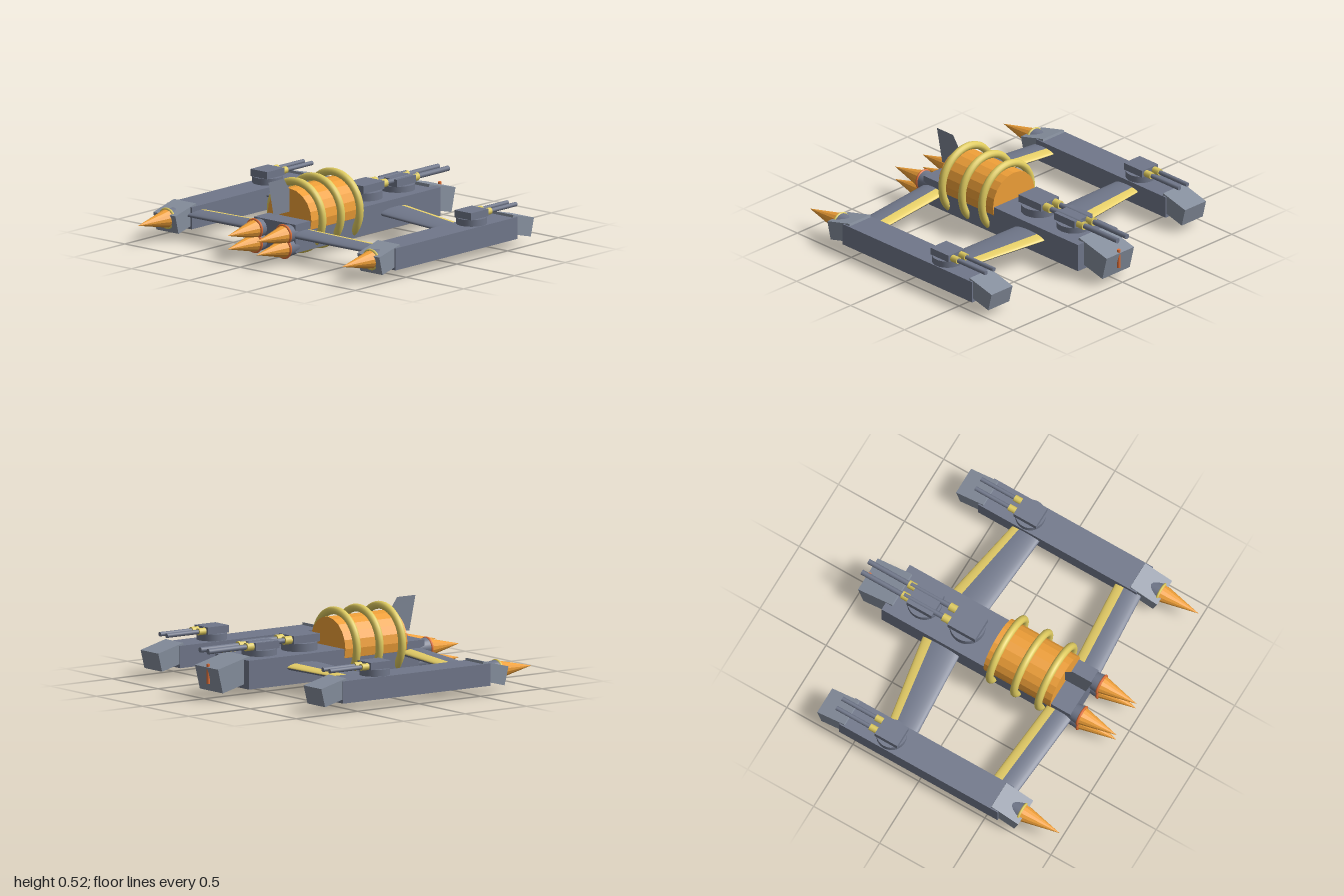
import * as THREE from 'three';

const mat = (color, extra = {}) => new THREE.MeshStandardMaterial({ color, ...extra });

export function createModel() {
  const model = new THREE.Group();
  const slate = mat(0x70778a);
  const paleSlate = mat(0x87909f);
  const strutGrey = mat(0x70778a, { side: THREE.DoubleSide });
  const strutYellow = mat(0xe8d068, { side: THREE.DoubleSide });
  const orange = mat(0xf0a038, { flatShading: true });
  const yellow = mat(0xe0cc60);
  const red = mat(0xe07038);

  const add = (parent, name, geometry, material, x, y, z, rx = 0) => {
    const mesh = new THREE.Mesh(geometry, material);
    mesh.name = name;
    mesh.position.set(x, y, z);
    mesh.rotation.x = rx;
    parent.add(mesh);
    return mesh;
  };
  const box = (w, h, d) => new THREE.BoxGeometry(w, h, d);
  // Cylinder along z; rFront is the +z end
  const rod = (rFront, rBack, length, sides = 16) =>
    new THREE.CylinderGeometry(rFront, rBack, length, sides).rotateX(Math.PI / 2);

  // Nozzle, glowing ring and exhaust flame
  const engine = (name, x, y, tip, ringMaterial) => {
    const g = new THREE.Group();
    g.name = name;
    add(g, 'nozzle', rod(0.066, 0.052, 0.13, 24), slate, x, y, 0.65);
    add(g, 'nozzleRing', new THREE.TorusGeometry(0.063, 0.009, 8, 24), ringMaterial, x, y, 0.715);
    add(g, 'flame', rod(0, 0.062, tip - 0.715, 14), orange, x, y, (tip + 0.715) / 2);
    model.add(g);
  };

  // Round base, gun house and twin barrels pointing to -z
  const turret = (name, o) => {
    const g = new THREE.Group();
    g.name = name;
    add(g, 'turretBase', new THREE.CylinderGeometry(o.r, o.r, o.y1 - o.y0, 28), slate,
      o.x, (o.y0 + o.y1) / 2, o.z);
    add(g, 'gunHouse', box(o.w, o.y2 - o.y1, o.zFront - o.zBack), slate,
      o.x, (o.y1 + o.y2) / 2, (o.zFront + o.zBack) / 2);
    for (const s of [-1, 1]) {
      const x = o.x + s * o.gap;
      add(g, 'barrelCollar', rod(o.br * 1.55, o.br * 1.55, 0.07, 12), yellow, x, o.by, o.zBack - 0.02);
      add(g, 'barrel', rod(o.br, o.br, o.zBack - o.end, 12), slate, x, o.by, (o.zBack + o.end) / 2);
    }
    model.add(g);
  };

  // Tapered elliptical strut surface between two sections, over part of its girth;
  // angle 0 is the -z edge, a quarter turn is the top
  const strutSkin = (name, side, root, tip, a0, a1, material) => {
    const n = 20, pos = [], idx = [];
    for (let i = 0; i <= n; i++) {
      const a = a0 + (a1 - a0) * i / n;
      for (const s of [root, tip]) {
        pos.push(side * s.x, s.y + s.h * Math.sin(a), s.z - s.w * Math.cos(a));
      }
      if (i < n) {
        const k = i * 2;
        if (side > 0) idx.push(k, k + 1, k + 2, k + 1, k + 3, k + 2);
        else idx.push(k, k + 2, k + 1, k + 1, k + 2, k + 3);
      }
    }
    const geo = new THREE.BufferGeometry();
    geo.setAttribute('position', new THREE.Float32BufferAttribute(pos, 3));
    geo.setIndex(idx);
    geo.computeVertexNormals();
    add(model, name, geo, material, 0, 0, 0);
  };

  // Central hull with drooping nose
  add(model, 'hull', box(0.36, 0.19, 1.43), slate, 0, 0.16, -0.055);
  add(model, 'nose', box(0.25, 0.165, 0.265), paleSlate, 0, 0.162, -0.832, -0.245);
  add(model, 'noseLamp', new THREE.CylinderGeometry(0.012, 0.012, 0.13, 10), red, 0, 0.165, -0.966);

  // Drum wrapped by three rings
  add(model, 'drum', rod(0.19, 0.19, 0.505, 20), orange, 0, 0.255, 0.26);
  for (const z of [0.075, 0.26, 0.443]) {
    add(model, 'drumRing', new THREE.TorusGeometry(0.225, 0.026, 12, 48), yellow, 0, 0.255, z);
  }

  // Thin fin behind the drum, drawn as (z, y)
  const finShape = new THREE.Shape([
    [0.72, 0.52], [0.57, 0.52], [0.51, 0.435], [0.51, 0.29], [0.67, 0.29],
  ].map(([z, y]) => new THREE.Vector2(-z, y)));
  add(model, 'fin', new THREE.ShapeGeometry(finShape).rotateY(Math.PI / 2),
    mat(0x7d8594, { side: THREE.DoubleSide }), 0, 0, 0);

  // Hull turrets and engines
  turret('forwardTurret', { x: 0, z: -0.55, r: 0.115, y0: 0.25, y1: 0.295, y2: 0.345, w: 0.165,
    zFront: -0.45, zBack: -0.64, gap: 0.043, br: 0.018, by: 0.32, end: -1.0 });
  turret('aftTurret', { x: 0, z: -0.225, r: 0.118, y0: 0.25, y1: 0.308, y2: 0.36, w: 0.165,
    zFront: -0.12, zBack: -0.33, gap: 0.043, br: 0.018, by: 0.332, end: -0.68 });
  for (const x of [-0.126, 0.126]) {
    for (const y of [0.1, 0.19]) engine('hullEngine', x, y, 0.98, red);
  }

  // Side pods, their turrets, engines and struts
  for (const side of [-1, 1]) {
    const x = side * 0.885;
    const label = side > 0 ? 'left' : 'right';
    add(model, label + 'Pod', box(0.21, 0.147, 1.2), slate, x, 0.137, -0.01);
    add(model, label + 'PodNose', box(0.192, 0.126, 0.21), paleSlate, x, 0.14, -0.664, -0.25);
    add(model, label + 'PodTail', box(0.192, 0.126, 0.21), paleSlate, x, 0.14, 0.624, 0.25);
    turret(label + 'PodTurret', { x, z: -0.275, r: 0.1, y0: 0.2, y1: 0.255, y2: 0.303, w: 0.145,
      zFront: -0.19, zBack: -0.36, gap: 0.037, br: 0.015, by: 0.275, end: -0.67 });
    engine(label + 'PodEngine', x, 0.143, 1.0, yellow);

    const struts = {
      ForeStrut: [{ x: 0.14, y: 0.178, z: -0.325, w: 0.14, h: 0.029 },
        { x: 0.82, y: 0.157, z: -0.243, w: 0.102, h: 0.02 }, 1.05],
      AftStrut: [{ x: 0.14, y: 0.178, z: 0.578, w: 0.094, h: 0.029 },
        { x: 0.82, y: 0.157, z: 0.522, w: 0.097, h: 0.02 }, 1.25],
    };
    for (const [name, [root, tip, split]] of Object.entries(struts)) {
      strutSkin(label + name + 'Stripe', side, root, tip, 0, split, strutYellow);
      strutSkin(label + name, side, root, tip, split, Math.PI * 2, strutGrey);
    }
  }
  return model;
}
